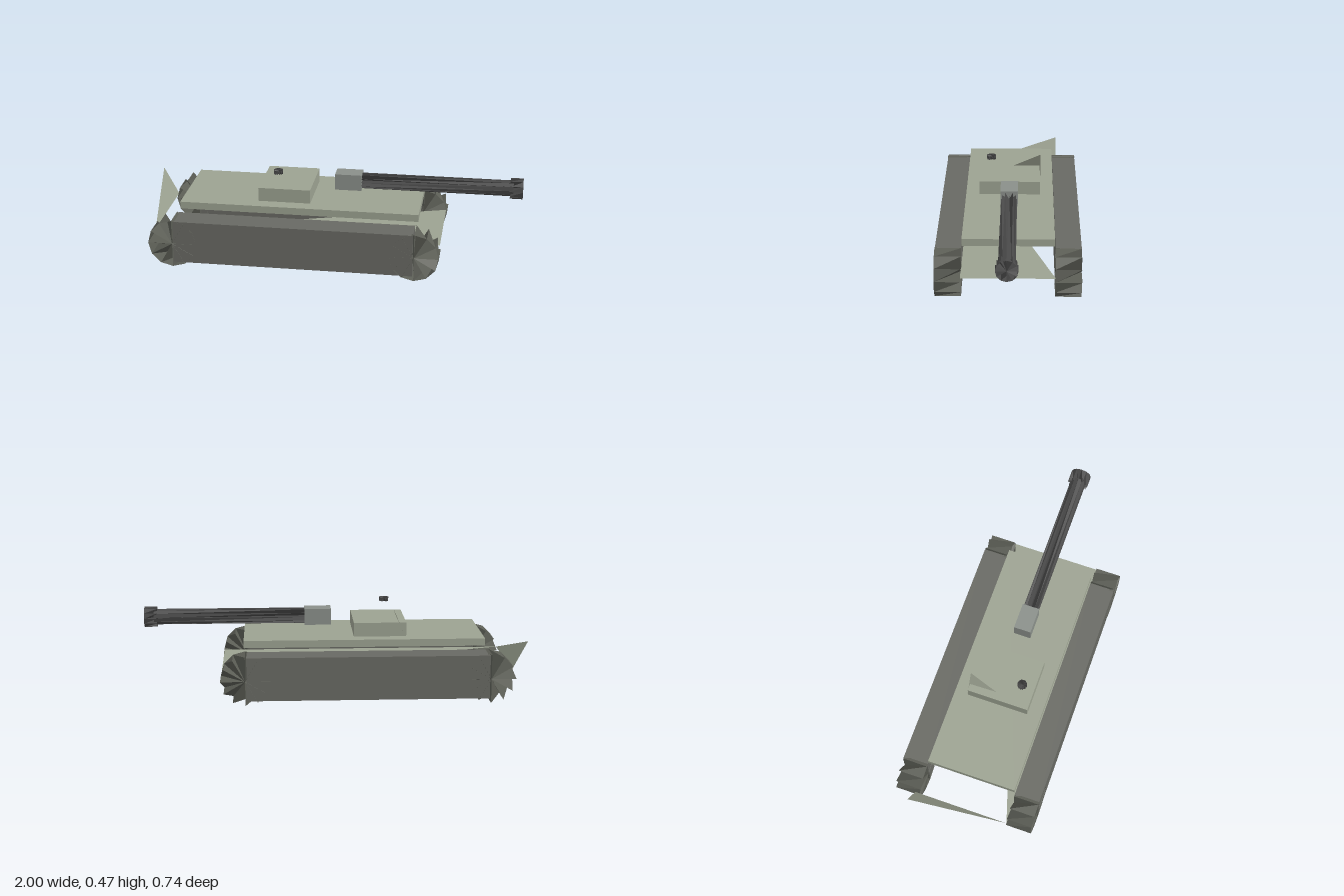
import * as THREE from 'three';

const paint = (color) => new THREE.MeshStandardMaterial({ color, flatShading: true, side: THREE.DoubleSide });
const green = paint(0x9ca291), trackGrey = paint(0x686963), drumGrey = paint(0x5c5e56);
const metal = paint(0x8a8f8a), gunmetal = paint(0x484848);

function add(group, name, geometry, material, x = 0, y = 0, z = 0) {
  const mesh = new THREE.Mesh(geometry, material);
  mesh.name = name;
  mesh.position.set(x, y, z);
  group.add(mesh);
  return mesh;
}

// Box given by its minimum and maximum on each axis
function box(group, name, material, [x0, x1], [y0, y1], [z0, z1]) {
  return add(group, name, new THREE.BoxGeometry(x1 - x0, y1 - y0, z1 - z0), material,
    (x0 + x1) / 2, (y0 + y1) / 2, (z0 + z1) / 2);
}

function fromTriangles(points) {
  const geometry = new THREE.BufferGeometry().setFromPoints(points);
  geometry.computeVertexNormals();
  return geometry;
}

const panel = (...corners) => fromTriangles(corners.map((c) => new THREE.Vector3(...c)));

// Jagged drum along z: one tooth per side, with the ends folded inwards
function jaggedDrum(radius, length, sides) {
  const rim = (i, z) => {
    const a = (i / sides) * Math.PI * 2;
    return new THREE.Vector3(radius * Math.cos(a), radius * Math.sin(a), z);
  };
  const h = length / 2, front = new THREE.Vector3(0, 0, h), back = new THREE.Vector3(0, 0, -h);
  const points = [];
  for (let i = 0; i < sides; i++) {
    const f0 = rim(i, h), f1 = rim(i + 1, h), b0 = rim(i, -h), b1 = rim(i + 1, -h);
    points.push(f0, b1, f1);          // tooth
    points.push(front, f0, b1, front, b1, f1); // folds on the front end
    points.push(back, f0, b0, back, b1, f0);   // folds on the back end
  }
  return fromTriangles(points);
}

export function createModel() {
  const model = new THREE.Group();
  model.name = 'tank';

  // Tracks with a jagged drum at each end
  for (const side of [1, -1]) {
    const track = new THREE.Group();
    track.name = side > 0 ? 'frontTrack' : 'backTrack';
    const z = side * 0.305;
    box(track, 'trackBody', trackGrey, [-0.79, 0.46], [0.025, 0.252], [z - 0.066, z + 0.066]);
    for (const x of [-0.797, 0.467]) add(track, 'trackDrum', jaggedDrum(0.128, 0.134, 12), drumGrey, x, 0.128, z);
    model.add(track);
  }

  // Hull deck and turret
  box(model, 'deck', green, [-0.78, 0.475], [0.272, 0.31], [-0.235, 0.235]);
  box(model, 'turret', green, [-0.375, -0.1], [0.31, 0.383], [-0.163, 0.163]);

  // Thin triangular plates
  add(model, 'floorPlate', panel([0.59, 0.148, 0.24], [0.59, 0.148, -0.24], [-0.92, 0.148, 0.24]), green);
  add(model, 'rearPlate', panel([-0.92, 0.148, 0.24], [-0.92, 0.148, -0.265], [-1, 0.3, -0.265]), green);
  add(model, 'turretFin', panel([-0.37, 0.31, -0.168], [-0.305, 0.46, -0.168], [-0.335, 0.383, -0.02]), green);

  // Hatch knob above the turret
  add(model, 'hatchKnob', jaggedDrum(0.025, 0.022, 12), gunmetal, -0.277, 0.456, 0.102).rotation.x = -Math.PI / 2;

  // Gun
  const gun = new THREE.Group();
  gun.name = 'gun';
  gun.position.y = 0.392;
  box(gun, 'mantlet', metal, [0.015, 0.155], [-0.043, 0.043], [-0.045, 0.045]);
  add(gun, 'barrel', jaggedDrum(0.042, 0.8, 12), gunmetal, 0.55).rotation.y = Math.PI / 2;
  add(gun, 'muzzle', jaggedDrum(0.055, 0.067, 12), gunmetal, 0.9665).rotation.y = Math.PI / 2;
  model.add(gun);

  return model;
}
